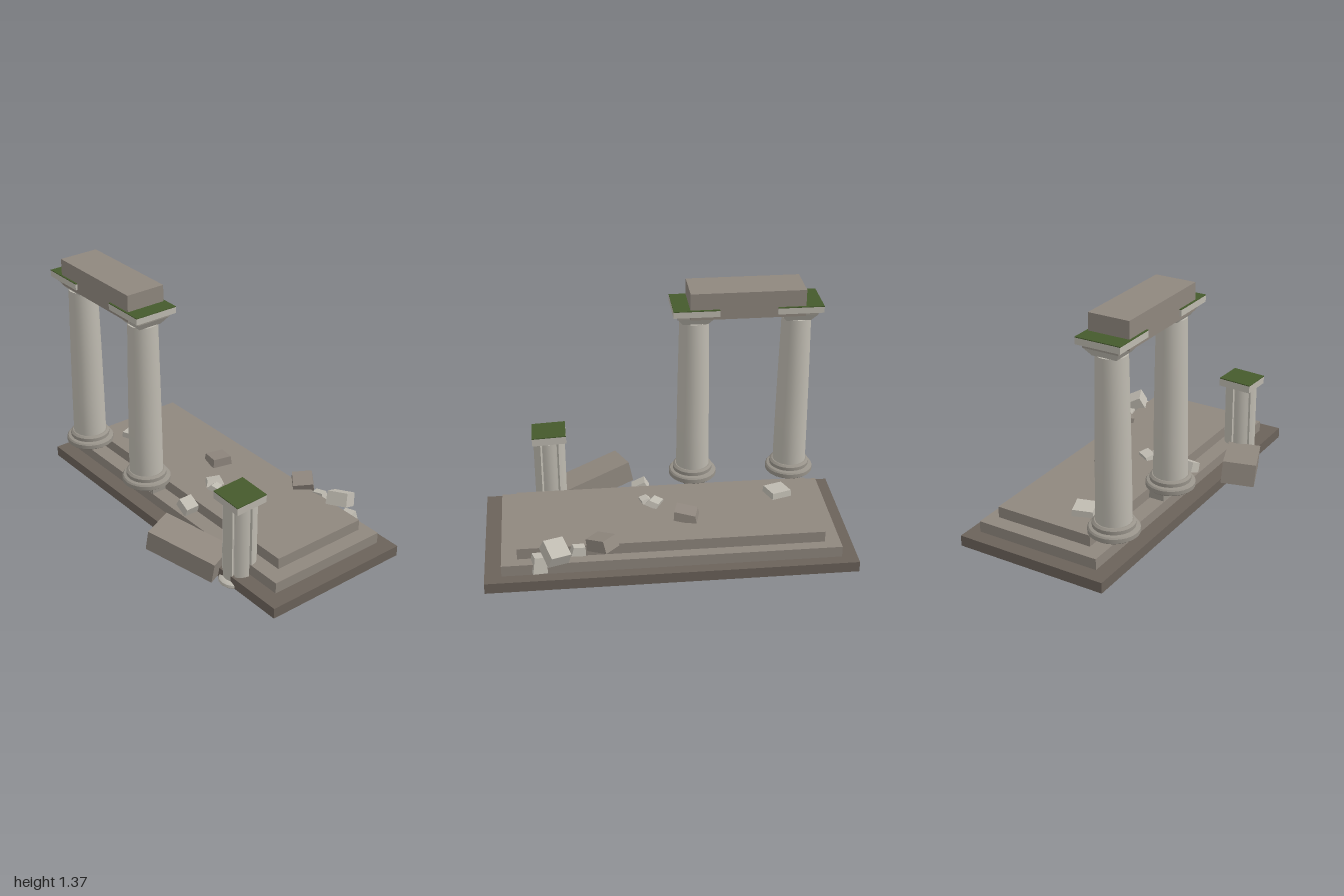
import * as THREE from 'three';
import { toCreasedNormals } from 'three/addons/utils/BufferGeometryUtils.js';

const mat = (name, color) => {
  const m = new THREE.MeshStandardMaterial({ color });
  m.name = name;
  return m;
};

export function createModel() {
  const root = new THREE.Group();
  root.name = 'ruinedTemple';
  const pale = mat('paleStone', 0xbebab0);
  const grey = mat('greyStone', 0x8f877e);
  const dark = mat('darkStone', 0x6b625a);
  const worn = mat('wornStone', 0x98938a);
  const moss = mat('moss', 0x455a2c);

  const add = (parent, name, geometry, material, pos = [0, 0, 0], rot = [0, 0, 0]) => {
    const mesh = new THREE.Mesh(geometry, material);
    mesh.name = name;
    mesh.position.set(...pos);
    mesh.rotation.set(...rot, 'YXZ');
    parent.add(mesh);
    return mesh;
  };
  const box = (parent, name, material, size, pos, rot) =>
    add(parent, name, new THREE.BoxGeometry(...size), material, pos, rot);
  const lathe = (points, sides) => toCreasedNormals(
    new THREE.LatheGeometry(points.map(p => new THREE.Vector2(...p)), sides), 0.6);

  // Block whose top is narrowed and shifted, for chipped rubble
  const chippedBlock = (w, h, d, taper, shift) => {
    const g = new THREE.BoxGeometry(w, h, d).toNonIndexed();
    const p = g.attributes.position;
    for (let i = 0; i < p.count; i++) {
      if (p.getY(i) > 0) p.setXYZ(i, p.getX(i) * taper + shift, p.getY(i), p.getZ(i) * taper);
    }
    g.computeVertexNormals();
    return g;
  };

  // Stepped platform
  box(root, 'lowerStep', dark, [2, 0.06, 0.87], [0, 0.035, -0.102]);
  box(root, 'middleStep', grey, [1.825, 0.062, 0.72], [-0.003, 0.096, -0.115]);
  box(root, 'upperStep', grey, [1.655, 0.063, 0.57], [-0.003, 0.1585, -0.13]);

  // Standing columns
  const baseGeometry = lathe([
    [0, 0.205], [0.125, 0.205], [0.135, 0.213], [0.135, 0.236], [0.128, 0.244],
    [0.112, 0.248], [0.112, 0.268], [0.1, 0.278], [0, 0.278],
  ], 24);
  const shaftGeometry = lathe([
    [0.094, 0.272], [0.092, 0.5], [0.088, 0.8], [0.081, 1.172], [0, 1.172],
  ], 20);
  const neckGeometry = new THREE.CylinderGeometry(0.1 * Math.SQRT2, 0.068 * Math.SQRT2, 0.045, 4, 1)
    .rotateY(Math.PI / 4).toNonIndexed();
  neckGeometry.computeVertexNormals();
  for (const x of [-0.752, -0.188]) {
    const column = new THREE.Group();
    column.name = 'column';
    column.position.set(x, 0, 0.25);
    add(column, 'columnBase', baseGeometry, worn);
    add(column, 'columnShaft', shaftGeometry, pale);
    add(column, 'capitalNeck', neckGeometry, pale, [0, 1.193, 0]);
    box(column, 'capitalBand', worn, [0.2, 0.022, 0.2], [0, 1.225, 0]);
    box(column, 'capitalSlab', pale, [0.25, 0.034, 0.25], [0, 1.252, 0]);
    box(column, 'capitalMoss', moss, [0.25, 0.004, 0.25], [0, 1.271, 0]);
    root.add(column);
  }

  // Lintel across the two columns
  box(root, 'lintel', grey, [0.625, 0.15, 0.227], [-0.467, 1.29, 0.251]);

  // Broken column: round stump with six narrow grooves
  const stump = new THREE.Group();
  stump.name = 'brokenColumn';
  stump.position.set(0.627, 0, 0.25);
  const outline = new THREE.Shape();
  for (let i = 0; i < 6; i++) {
    const a = i * Math.PI / 3;
    [[0, 0.072], [0.07, 0.074], [0.08, 0.089], [0.3, 0.09], [0.52, 0.091],
      [0.75, 0.09], [0.967, 0.089], [0.977, 0.074]].forEach(([t, r], j) => {
      const b = a + t;
      if (i + j === 0) outline.moveTo(r * Math.cos(b), r * Math.sin(b));
      else outline.lineTo(r * Math.cos(b), r * Math.sin(b));
    });
  }
  outline.closePath();
  const stumpGeometry = toCreasedNormals(
    new THREE.ExtrudeGeometry(outline, { depth: 0.46, bevelEnabled: false }).rotateX(-Math.PI / 2), 0.6);
  add(stump, 'stumpShaft', stumpGeometry, pale, [0, 0.025, 0]);
  add(stump, 'stumpBase', lathe([
    [0, 0], [0.078, 0], [0.085, 0.008], [0.082, 0.022], [0.062, 0.034], [0, 0.034],
  ], 16), pale, [0, 0, 0.032]);
  const cap = new THREE.Group();
  cap.name = 'stumpCap';
  cap.position.set(0, 0.505, 0.002);
  cap.rotation.set(0.04, 0, -0.045);
  box(cap, 'capSlab', pale, [0.19, 0.042, 0.19], [0, 0, 0]);
  box(cap, 'capMoss', moss, [0.19, 0.005, 0.19], [0, 0.0235, 0]);
  stump.add(cap);
  root.add(stump);

  // Fallen lintel piece leaning on the front steps
  box(root, 'fallenBlock', grey, [0.405, 0.125, 0.185], [0.376, 0.115, 0.388], [0.07, 0.38, -0.19]);

  // Rubble: material, size, taper, shift, position, rotation
  const rubble = [
    [pale, [0.12, 0.036, 0.115], 0.95, 0, [-0.64, 0.208, 0], [0.04, 0.35, 0.03]],
    [grey, [0.13, 0.05, 0.115], 0.9, 0.012, [-0.108, 0.212, -0.196], [0.02, -0.25, 0.15]],
    [pale, [0.075, 0.03, 0.1], 0.75, -0.01, [0.06, 0.203, -0.035], [0.1, -0.5, 0.2]],
    [pale, [0.06, 0.028, 0.07], 0.7, 0.01, [0.105, 0.202, -0.005], [0, 0.3, -0.2]],
    [pale, [0.09, 0.055, 0.085], 0.9, 0, [0.12, 0.168, 0.195], [0.05, -0.05, -0.45]],
    [worn, [0.115, 0.065, 0.09], 0.95, 0, [-0.195, 0.163, 0.2], [0, 0, -0.06]],
    [grey, [0.125, 0.065, 0.12], 0.92, 0.01, [0.37, 0.206, -0.42], [0.1, -0.68, -0.2]],
    [pale, [0.12, 0.075, 0.125], 0.95, 0, [0.62, 0.2, -0.472], [-0.45, 0.4, 0.1]],
    [pale, [0.08, 0.09, 0.08], 0.8, 0, [0.71, 0.12, -0.45], [0.1, 0.25, 0.1]],
    [pale, [0.08, 0.05, 0.05], 0.8, 0, [0.5, 0.175, -0.43], [0, 0.2, 0.15]],
  ];
  rubble.forEach(([m, size, taper, shift, pos, rot]) =>
    add(root, 'rubble', chippedBlock(...size, taper, shift), m, pos, rot));

  return root;
}
